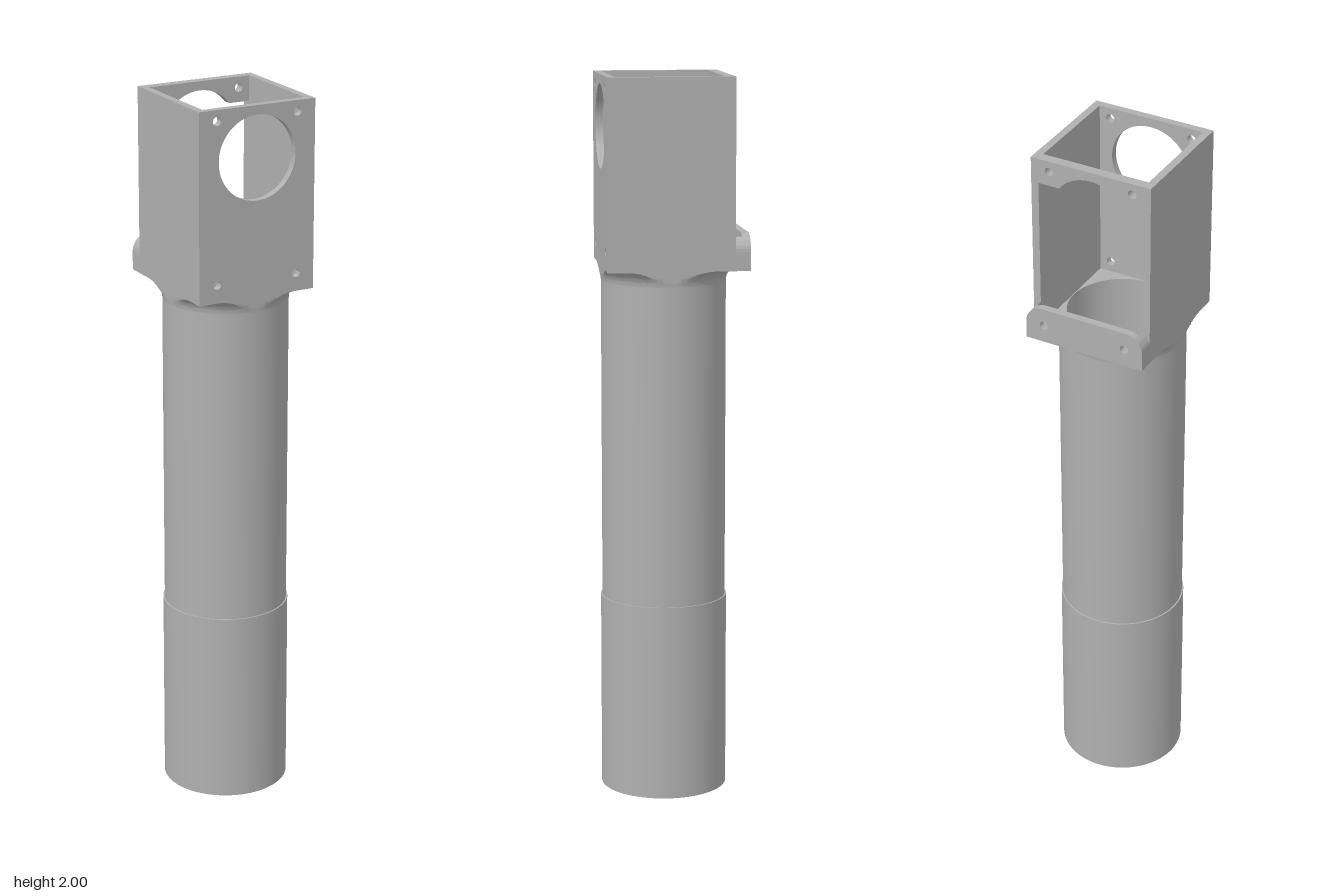
import * as THREE from 'three';
import { mergeGeometries, toCreasedNormals } from 'three/addons/utils/BufferGeometryUtils.js';

const HALF = 0.173;      // half width of the square housing
const INNER = 0.152;     // half width of its cavity
const LIP = 0.215;       // reach of the door lip
const BASE = 1.48, FLOOR = 1.5, TOP = 2;
const R_LOW = 0.176, R_TUBE = 0.172, R_BORE = 0.15;

export function createModel() {
  const metal = new THREE.MeshStandardMaterial({ color: 0xb0b0b0 });
  const model = new THREE.Group();
  model.name = 'tubeHousing';
  // the whole part is turned about the tube axis
  const part = new THREE.Group();
  part.name = 'turnedAssembly';
  part.rotation.y = THREE.MathUtils.degToRad(-20);
  part.position.set(0.018, 0, 0.006);
  model.add(part);

  const add = (name, geometry) => {
    const mesh = new THREE.Mesh(geometry, metal);
    mesh.name = name;
    part.add(mesh);
    return mesh;
  };
  const box = (name, x0, x1, y0, y1, z0, z1) => {
    const g = new THREE.BoxGeometry(x1 - x0, y1 - y0, z1 - z0);
    g.translate((x0 + x1) / 2, (y0 + y1) / 2, (z0 + z1) / 2);
    return add(name, g);
  };
  const polygon = (pts) => new THREE.Shape(pts.map(([x, y]) => new THREE.Vector2(x, y)));
  const drill = (shape, x, y, r) => shape.holes.push(new THREE.Path().absarc(x, y, r, 0, Math.PI * 2, true));
  const extrude = (shape, depth) =>
    new THREE.ExtrudeGeometry(shape, { depth, bevelEnabled: false, curveSegments: 40 });
  // upright panel: shape drawn in (side, height), thickness along x
  const panel = (name, shape, x0, x1) => {
    const g = extrude(shape, x1 - x0);
    g.rotateY(Math.PI / 2);
    g.translate(x0, 0, 0);
    return add(name, toCreasedNormals(g, 0.5));
  };
  // level plate: shape drawn in (x, -z), thickness along y
  const plate = (name, shape, y0, y1) => {
    const g = extrude(shape, y1 - y0);
    g.rotateX(-Math.PI / 2);
    g.translate(0, y0, 0);
    return add(name, toCreasedNormals(g, 0.5));
  };
  // sharp-edged turned surface, one lathe per straight run
  const turned = (name, pts) => add(name, mergeGeometries(pts.slice(1).map((p, i) =>
    new THREE.LatheGeometry([new THREE.Vector2(...pts[i]), new THREE.Vector2(...p)], 96))));

  // tube
  turned('tubeOutside', [[R_LOW, 0], [R_LOW, 0.55], [R_TUBE, 0.55], [R_TUBE, BASE]]);
  turned('tubeBore', [[R_BORE, FLOOR], [R_BORE, 0.04], [0.145, 0.03]]);

  // end plate with a centre hole and six round it
  const end = new THREE.Shape().absarc(0, 0, R_LOW - 0.0005, 0, Math.PI * 2, false);
  drill(end, 0, 0, 0.034);
  for (let i = 0; i < 6; i++) {
    const a = Math.PI / 6 + i * Math.PI / 3;
    drill(end, 0.078 * Math.cos(a), 0.078 * Math.sin(a), 0.0165);
  }
  plate('endPlate', end, 0, 0.03);

  // concave flare, trimmed to the outline of the housing
  const profile = [];
  for (let i = 0; i <= 12; i++) {
    const t = (i / 12) * Math.PI / 2;
    profile.push(new THREE.Vector2(R_TUBE + 0.042 * (1 - Math.cos(t)), BASE - 0.042 + 0.042 * Math.sin(t)));
  }
  const flare = new THREE.LatheGeometry(profile, 144);
  const pos = flare.attributes.position;
  for (let i = 0; i < pos.count; i++) {
    const x = pos.getX(i), z = pos.getZ(i);
    const k = Math.min(1, (x < 0 ? LIP : HALF) / Math.max(Math.abs(x), 1e-6), HALF / Math.max(Math.abs(z), 1e-6));
    pos.setXYZ(i, x * k, pos.getY(i), z * k);
  }
  add('flare', toCreasedNormals(flare, 0.5));

  // housing floor, opened by the bore
  const floor = polygon([[-LIP, -HALF], [HALF, -HALF], [HALF, HALF], [-LIP, HALF]]);
  drill(floor, 0, 0, R_BORE);
  plate('housingFloor', floor, BASE, FLOOR);

  // plain side walls
  for (const s of [-1, 1]) {
    const [a, b] = [s * INNER, s * HALF].sort((p, q) => p - q);
    box('sideWall', -HALF, HALF, BASE, TOP, a, b);
  }

  // wall with the round window and four screw holes
  const front = polygon([[-HALF, BASE], [HALF, BASE], [HALF, TOP], [-HALF, TOP]]);
  drill(front, 0, 1.86, 0.115);
  for (const s of [-1, 1]) for (const y of [1.53, 1.97]) drill(front, s * 0.12, y, 0.012);
  panel('windowWall', front, INNER, HALF);

  // bar over the door opening, with an arch in its underside
  const a0 = Math.asin(0.07 / 0.115);
  const bar = new THREE.Shape();
  bar.moveTo(INNER, 1.93);
  bar.lineTo(INNER, TOP);
  bar.lineTo(-INNER, TOP);
  bar.lineTo(-INNER, 1.93);
  bar.absarc(0, 1.86, 0.115, Math.PI - a0, a0, true);
  bar.closePath();
  for (const s of [-1, 1]) drill(bar, s * 0.12, 1.97, 0.012);
  panel('doorBar', bar, -HALF, -0.145);

  // door lip: round-shouldered plate with two screw holes
  const lip = new THREE.Shape();
  lip.moveTo(-HALF, BASE);
  lip.lineTo(HALF, BASE);
  lip.absarc(HALF - 0.05, 1.53, 0.05, 0, Math.PI / 2, false);
  lip.absarc(0.05 - HALF, 1.53, 0.05, Math.PI / 2, Math.PI, false);
  lip.closePath();
  for (const s of [-1, 1]) drill(lip, s * 0.12, 1.53, 0.012);
  panel('doorLip', lip, -LIP, -0.194);

  // cheeks joining the lip to the side walls
  const shoulder = Math.acos((INNER - HALF + 0.05) / 0.05);
  for (const s of [-1, 1]) {
    const cheek = new THREE.Shape();
    cheek.moveTo(s * INNER, BASE);
    cheek.lineTo(s * HALF, BASE);
    if (s > 0) cheek.absarc(HALF - 0.05, 1.53, 0.05, 0, shoulder, false);
    else cheek.absarc(0.05 - HALF, 1.53, 0.05, Math.PI, Math.PI - shoulder, true);
    cheek.closePath();
    panel('lipCheek', cheek, -0.194, -HALF);
  }
  return model;
}
